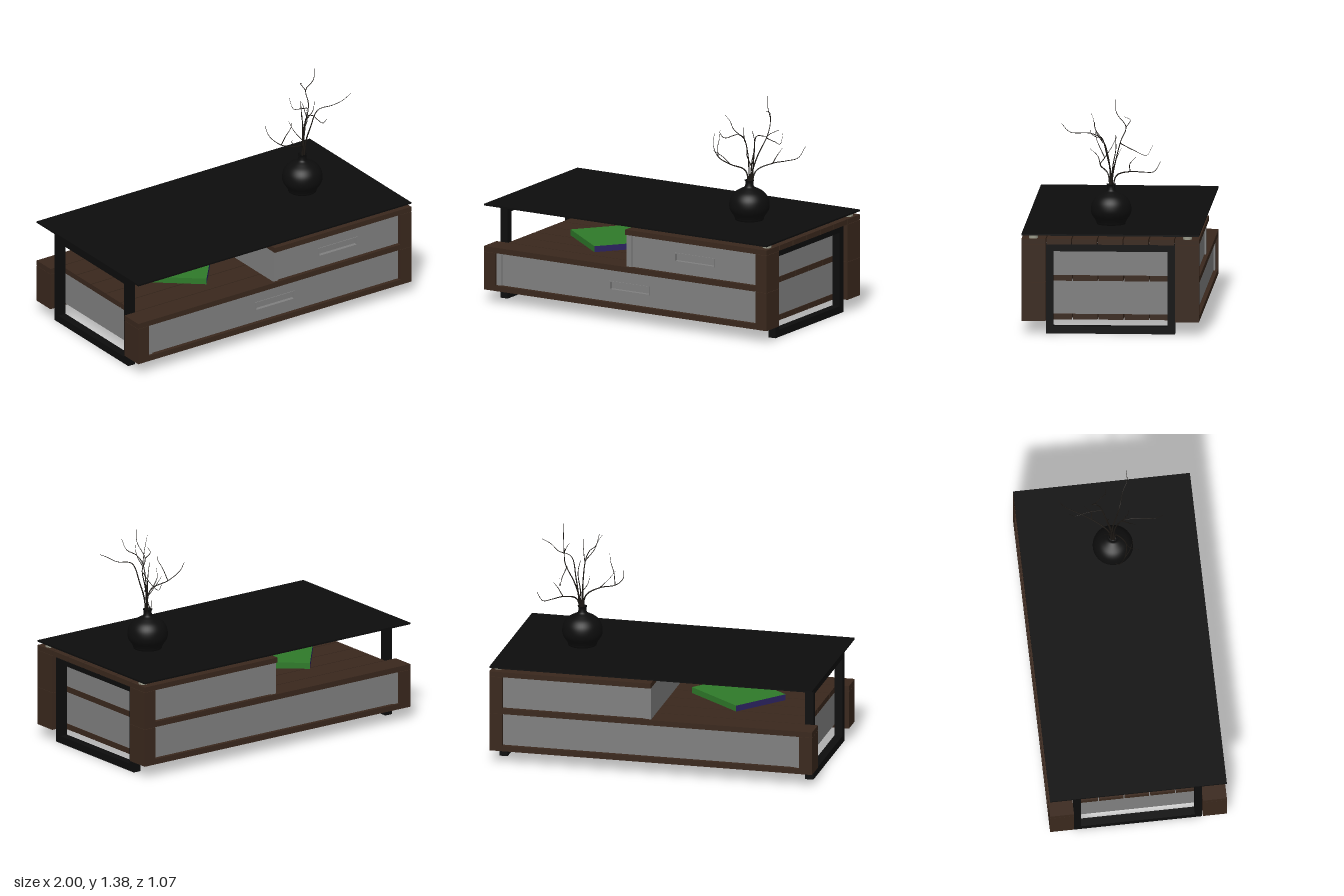
import * as THREE from 'three';

const mat = (color, extra = {}) => new THREE.MeshStandardMaterial({ color, ...extra });
const wood = mat(0x3a281d), metal = mat(0x0d0d0d), grey = mat(0x808080);
const green = mat(0x2f7a2a), purple = mat(0x2c2260), rubber = mat(0x9a9a8a);
const ceramic = mat(0x0d0d0d, { side: THREE.DoubleSide }), twig = mat(0x1c1814);

export function createModel() {
  const root = new THREE.Group();

  const add = (name, geometry, material, parent = root) => {
    const mesh = new THREE.Mesh(geometry, material);
    mesh.name = name;
    parent.add(mesh);
    return mesh;
  };
  // Box given by its limits on each axis
  const box = (name, material, [x0, x1], [y0, y1], [z0, z1], parent = root) => {
    const m = add(name, new THREE.BoxGeometry(x1 - x0, y1 - y0, z1 - z0), material, parent);
    m.position.set((x0 + x1) / 2, (y0 + y1) / 2, (z0 + z1) / 2);
    return m;
  };
  // The same box at front and back
  const boxPair = (name, material, xs, ys, [z0, z1]) => {
    box(name + 'Front', material, xs, ys, [z0, z1]);
    box(name + 'Back', material, xs, ys, [-z1, -z0]);
  };

  // Plank layers: two outer boards and five inner slats
  const layer = (name, ys, outerX, innerX) => {
    boxPair(name + 'OuterPlank', wood, outerX, ys, [0.39, 0.535]);
    for (let k = -2; k <= 2; k++) {
      box(name + 'Slat', wood, innerX, ys, [k * 0.155 - 0.074, k * 0.155 + 0.074]);
    }
  };
  layer('bottom', [0.078, 0.112], [-0.92, 0.92], [0, 0.92]);
  layer('shelf', [0.313, 0.347], [-1, 1], [-0.92, 0.92]);
  layer('upper', [0.546, 0.578], [0, 1], [0, 1]);

  // End blocks at the corners
  boxPair('leftBlock', wood, [0.92, 1], [0.078, 0.311], [0.39, 0.535]);
  boxPair('rightBlock', wood, [-1, -0.92], [0.078, 0.311], [0.39, 0.535]);
  boxPair('upperBlock', wood, [0.92, 1], [0.347, 0.544], [0.39, 0.535]);

  // Drawer units: bottom, end walls, plain back and front with a handle pocket
  const drawer = (name, x0, y0, y1) => {
    const unit = new THREE.Group();
    unit.name = name;
    root.add(unit);
    box('endWall', grey, [x0, x0 + 0.035], [y0, y1], [-0.52, 0.52], unit);
    box('farWall', grey, [0.895, 0.915], [y0, y1], [-0.5, 0.5], unit);
    box('floor', grey, [x0, 0.915], [y0, y0 + 0.008], [-0.5, 0.5], unit);
    box('backPanel', grey, [x0 + 0.035, 0.92], [y0, y1], [-0.51, -0.49], unit);

    const w = 0.885 - x0, h = y1 - y0;
    const rect = (path, a, b) => path.moveTo(-a, -b).lineTo(a, -b).lineTo(a, b).lineTo(-a, b).closePath();
    const face = rect(new THREE.Shape(), w / 2, h / 2);
    face.holes.push(rect(new THREE.Path(), 0.142, 0.027));
    const front = add('drawerFront', new THREE.ExtrudeGeometry(face, { depth: 0.02, bevelEnabled: false }), grey, unit);
    const cx = x0 + 0.035 + w / 2, cy = (y0 + y1) / 2;
    front.position.set(cx, cy, 0.49);
    box('handlePocket', grey, [cx - 0.15, cx + 0.15], [cy - 0.035, cy + 0.035], [0.48, 0.492], unit);
    // Slim rim around the pocket
    for (const s of [-1, 1]) {
      box('handleRim', grey, [cx - 0.142, cx + 0.142], [cy + s * 0.025 - 0.003, cy + s * 0.025 + 0.003], [0.49, 0.515], unit);
      box('handleRim', grey, [cx + s * 0.14 - 0.003, cx + s * 0.14 + 0.003], [cy - 0.027, cy + 0.027], [0.49, 0.515], unit);
    }
  };
  drawer('lowerDrawer', -0.92, 0.112, 0.313);
  drawer('upperDrawer', 0, 0.347, 0.546);

  // Metal loop frames at both ends
  const frame = (name, xs, top) => {
    boxPair(name + 'Post', metal, xs, [0, top], [0.345, 0.389]);
    box(name + 'FootBar', metal, xs, [0, 0.045], [-0.345, 0.345]);
    box(name + 'TopBar', metal, xs, [top - 0.045, top], [-0.345, 0.345]);
  };
  frame('leftFrame', [0.922, 0.972], 0.545);
  frame('rightFrame', [-0.972, -0.922], 0.578);

  // Glass top on round spacers
  box('glassTop', metal, [-1, 1], [0.598, 0.608], [-0.535, 0.535]);
  for (const [x, z] of [[0.96, 0.465], [-0.948, 0.367]]) {
    for (const s of [-1, 1]) {
      add('spacer', new THREE.CylinderGeometry(0.027, 0.027, 0.02, 24), rubber).position.set(x, 0.588, s * z);
    }
  }

  // Book lying at an angle on the shelf
  const book = add('book', new THREE.BoxGeometry(0.447, 0.037, 0.37),
    [purple, purple, green, green, green, green]);
  book.position.set(-0.405, 0.366, 0.035);
  book.rotation.y = -0.69;

  // Vase
  const wall = new THREE.SplineCurve([
    [0.088, 0.012], [0.098, 0.03], [0.117, 0.06], [0.122, 0.092], [0.114, 0.132], [0.09, 0.165],
    [0.055, 0.187], [0.031, 0.2], [0.025, 0.215], [0.024, 0.232], [0.029, 0.242],
  ].map(([r, y]) => new THREE.Vector2(r, y))).getPoints(40);
  const profile = [new THREE.Vector2(0, 0), new THREE.Vector2(0.086, 0), ...wall,
    new THREE.Vector2(0.023, 0.242), new THREE.Vector2(0.02, 0.2)];
  add('vase', new THREE.LatheGeometry(profile, 48), ceramic).position.set(0.56, 0.608, 0.02);

  // Dry branches: each is a path that tapers to its tip
  const branches = new THREE.Group();
  branches.name = 'branches';
  root.add(branches);
  const branch = (radius, ...pts) => {
    const curve = new THREE.CatmullRomCurve3(pts.map((p) => new THREE.Vector3(...p)));
    const steps = pts.length * 5, geo = new THREE.TubeGeometry(curve, steps, radius, 6);
    const pos = geo.attributes.position, v = new THREE.Vector3();
    for (let i = 0; i < pos.count; i++) {
      const t = Math.floor(i / 7) / steps, c = curve.getPointAt(t);
      v.fromBufferAttribute(pos, i).sub(c).multiplyScalar(1 - 0.75 * t).add(c);
      pos.setXYZ(i, v.x, v.y, v.z);
    }
    add('branch', geo, twig, branches);
  };
  const R = 0.0055, r = 0.003;
  // Main stems
  branch(R, [0.565, 0.75, 0.02], [0.575, 0.9, 0.01], [0.6, 1.0, -0.01], [0.65, 1.13, -0.045], [0.65, 1.21, -0.075], [0.668, 1.3, -0.018], [0.67, 1.38, -0.01]);
  branch(R, [0.56, 0.75, 0.02], [0.56, 1.0, 0.035], [0.555, 1.12, 0.075], [0.55, 1.155, 0.14], [0.535, 1.16, 0.27], [0.53, 1.21, 0.32]);
  branch(R, [0.57, 0.75, 0.015], [0.585, 0.92, 0.02], [0.605, 1.02, 0.04], [0.64, 1.14, 0.07], [0.73, 1.16, 0.1], [0.78, 1.19, 0.13], [0.84, 1.22, 0.13]);
  branch(R, [0.57, 0.75, 0.01], [0.585, 0.9, -0.01], [0.65, 0.94, -0.1], [0.7, 0.945, -0.18], [0.74, 0.955, -0.25], [0.765, 1.02, -0.29]);
  branch(R, [0.555, 0.75, 0.025], [0.545, 0.91, 0.04], [0.47, 0.95, 0.09], [0.37, 0.98, 0.07], [0.31, 1.04, 0.03], [0.3, 1.1, 0.0]);
  branch(R, [0.56, 0.75, 0.015], [0.57, 0.95, 0.01], [0.58, 1.07, -0.01], [0.565, 1.15, -0.005]);
  // Side twigs
  branch(r, [0.555, 1.12, 0.075], [0.51, 1.18, 0.12], [0.49, 1.23, 0.13], [0.465, 1.27, 0.148]);
  branch(r, [0.556, 1.1, 0.07], [0.575, 1.17, 0.11], [0.58, 1.24, 0.12]);
  branch(r, [0.37, 0.98, 0.07], [0.385, 1.05, 0.1], [0.41, 1.11, 0.12], [0.415, 1.16, 0.12]);
  branch(r, [0.47, 0.95, 0.09], [0.42, 1.0, 0.11], [0.39, 1.04, 0.16]);
  branch(r, [0.64, 1.11, -0.04], [0.65, 1.07, -0.12], [0.645, 1.04, -0.2], [0.64, 1.1, -0.235]);
  branch(r, [0.65, 0.94, -0.1], [0.68, 0.99, -0.1], [0.7, 1.04, -0.14]);
  branch(r, [0.65, 1.21, -0.075], [0.63, 1.25, -0.1], [0.62, 1.27, -0.06]);
  branch(r, [0.57, 0.93, 0.01], [0.52, 1.0, -0.01], [0.5, 1.06, -0.04]);
  return root;
}
